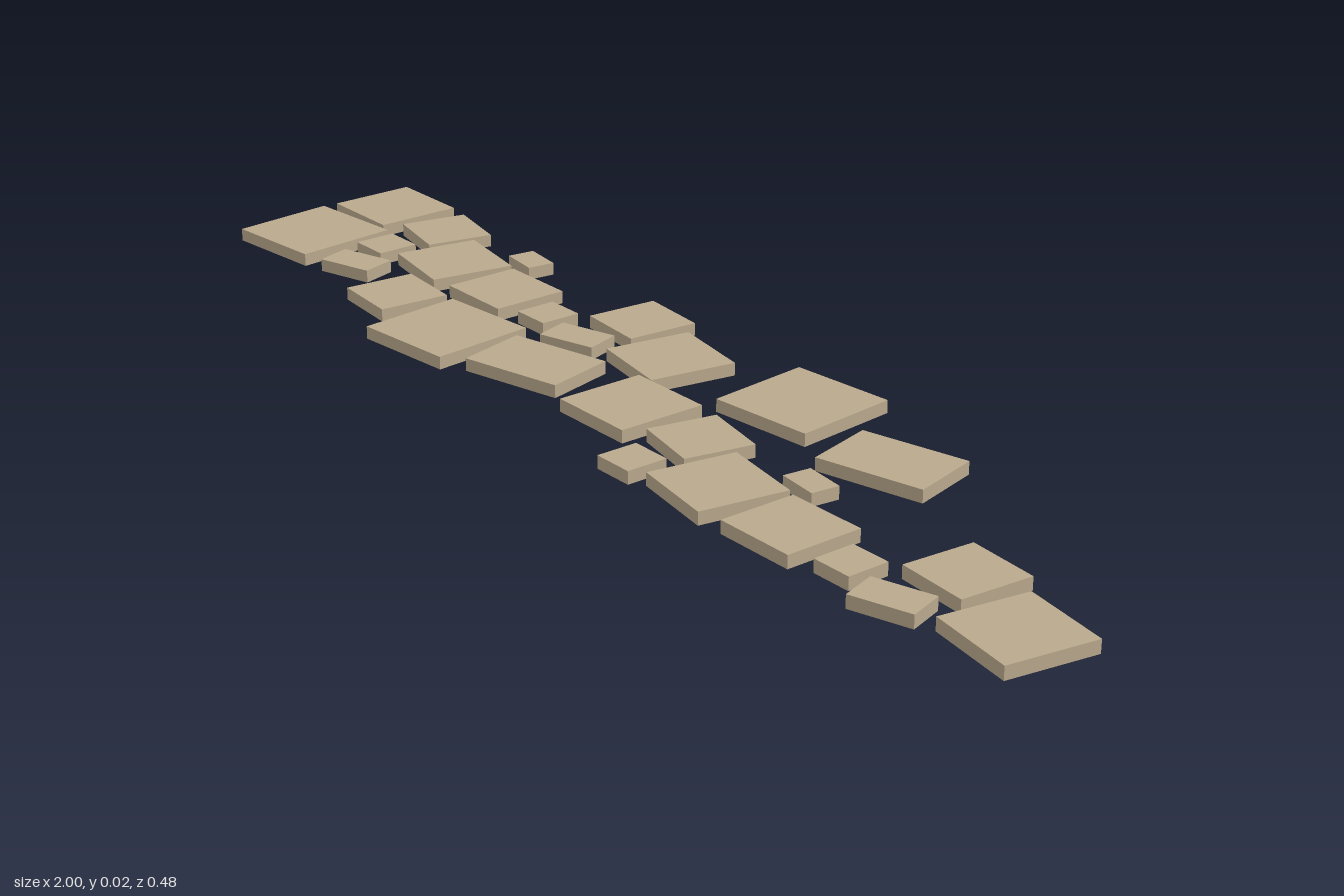
import * as THREE from 'three';

const THICKNESS = 0.021;

// Each slab: centre x, centre z, width, depth, turn in degrees (seen from above, anticlockwise)
const SLABS = [
  [-0.92, -0.165, 0.15, 0.15, 0],
  [-0.90, 0.016, 0.18, 0.18, 5.5],
  [-0.757, -0.164, 0.12, 0.115, -12],
  [-0.762, -0.042, 0.072, 0.072, 0],
  [-0.725, 0.044, 0.10, 0.062, 17],
  [-0.623, -0.087, 0.147, 0.143, -10],
  [-0.543, -0.189, 0.07, 0.047, -7],
  [-0.456, -0.074, 0.137, 0.13, 0],
  [-0.556, 0.074, 0.12, 0.12, -5],
  [-0.373, 0.102, 0.18, 0.178, 5.5],
  [-0.325, -0.063, 0.068, 0.07, 0],
  [-0.206, -0.162, 0.12, 0.122, -5],
  [-0.217, -0.04, 0.10, 0.062, 17],
  [-0.174, 0.073, 0.178, 0.122, 14],
  [-0.058, -0.1, 0.146, 0.146, -10],
  [0.048, 0.061, 0.15, 0.15, 0],
  [0.199, -0.144, 0.18, 0.18, 5.5],
  [0.211, 0.061, 0.12, 0.115, -12],
  [0.206, 0.183, 0.07, 0.07, 0],
  [0.345, 0.141, 0.147, 0.146, -10],
  [0.441, -0.1, 0.18, 0.122, 14],
  [0.424, 0.038, 0.07, 0.047, -7],
  [0.512, 0.153, 0.137, 0.13, 0],
  [0.643, 0.163, 0.068, 0.07, 0],
  [0.75, 0.19, 0.10, 0.062, 17],
  [0.759, 0.065, 0.12, 0.12, -5],
  [0.912, 0.128, 0.147, 0.146, -10],
];

export function createModel() {
  const path = new THREE.Group();
  path.name = 'steppingStonePath';
  const stone = new THREE.MeshStandardMaterial({ color: 0xb9a88c });

  // Flat paving slabs laid loosely along the path
  SLABS.forEach(([x, z, width, depth, turn], i) => {
    const slab = new THREE.Mesh(new THREE.BoxGeometry(width, THICKNESS, depth), stone);
    slab.name = `pavingSlab${i + 1}`;
    slab.position.set(x, THICKNESS / 2, z);
    slab.rotation.y = THREE.MathUtils.degToRad(turn);
    path.add(slab);
  });

  return path;
}
